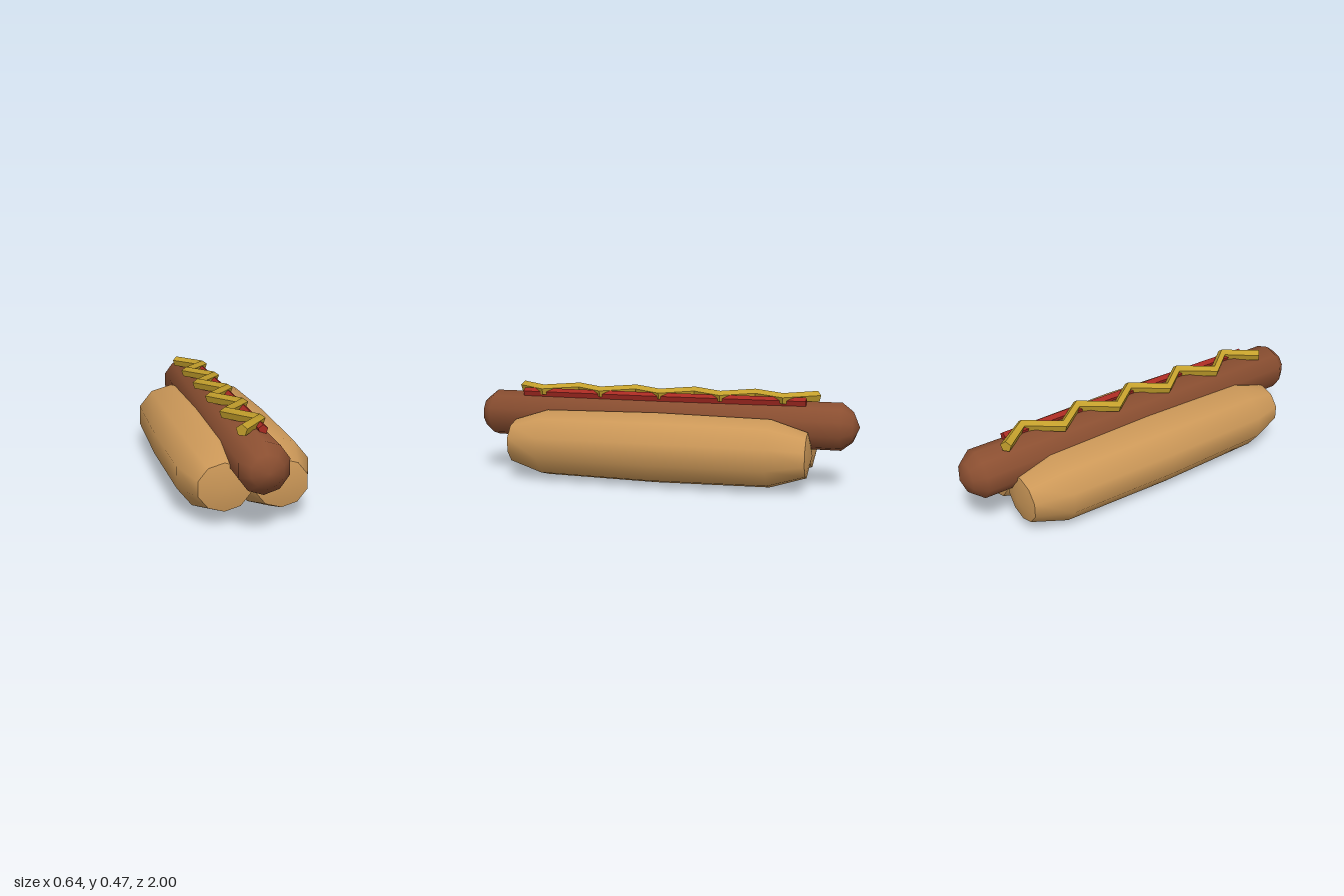
import * as THREE from 'three';
import { toCreasedNormals } from 'three/addons/utils/BufferGeometryUtils.js';

const paint = (name, color) => {
  const m = new THREE.MeshStandardMaterial({ color });
  m.name = name;
  return m;
};

// Skin elliptical rings along a path running toward +z.
// Each station is [x, y, z, rx, ry]; a zero radius closes the end.
function loft(stations, sides) {
  const rings = stations.map(([x, y, z, rx, ry], i) => {
    const p = stations[Math.max(i - 1, 0)];
    const n = stations[Math.min(i + 1, stations.length - 1)];
    const dx = n[0] - p[0], dz = n[2] - p[2];
    const len = Math.hypot(dx, dz) || 1;
    return Array.from({ length: sides }, (_, j) => {
      const a = Math.PI / 2 + (j / sides) * Math.PI * 2;
      const s = rx * Math.cos(a);
      return [x + (s * dz) / len, y + ry * Math.sin(a), z - (s * dx) / len];
    });
  });
  const pos = [];
  for (let i = 0; i < rings.length - 1; i++) {
    for (let j = 0; j < sides; j++) {
      const k = (j + 1) % sides;
      const a = rings[i][j], b = rings[i][k], c = rings[i + 1][k], d = rings[i + 1][j];
      if (stations[i][3] > 0) pos.push(...a, ...b, ...c);
      if (stations[i + 1][3] > 0) pos.push(...a, ...c, ...d);
    }
  }
  const g = new THREE.BufferGeometry();
  g.setAttribute('position', new THREE.Float32BufferAttribute(pos, 3));
  return toCreasedNormals(g, 0.9);
}

// Pentagonal sauce strand with flat ends
function strand(points, r) {
  const body = points.map((p) => [...p, r, r]);
  return loft([[...points[0], 0, 0], ...body, [...points[points.length - 1], 0, 0]], 5);
}

export function createModel() {
  const group = new THREE.Group();
  group.name = 'hotDog';
  const add = (name, geometry, material) => {
    const mesh = new THREE.Mesh(geometry, material);
    mesh.name = name;
    group.add(mesh);
  };
  const bread = paint('bread', 0xcc9858);
  const meat = paint('meat', 0x8b4f31);
  const yellow = paint('mustardYellow', 0xc4a02c);
  const red = paint('ketchupRed', 0xa82a22);

  // Two bun halves, tapering to shallow pointed ends
  const bunProfile = [
    [-0.785, 0, 0], [-0.76, 0.126, 0.113], [-0.58, 0.19, 0.17], [0, 0.201, 0.179],
    [0.58, 0.19, 0.17], [0.76, 0.126, 0.113], [0.785, 0, 0],
  ];
  for (const side of [1, -1]) {
    add(side > 0 ? 'leftBun' : 'rightBun',
      loft(bunProfile.map(([z, rx, ry]) => [side * 0.131, 0.181, z, rx, ry]), 10), bread);
  }

  // Sausage with rounded ends
  const sausageProfile = [
    [-1, 0], [-0.968, 0.076], [-0.912, 0.12], [0.912, 0.12], [0.968, 0.076], [1, 0],
  ];
  add('sausage', loft(sausageProfile.map(([z, r]) => [0.006, 0.308, z, r, r]), 10), meat);

  // Mustard zigzag
  const zigzag = [];
  for (let i = 0; i <= 10; i++) zigzag.push([i % 2 ? 0.062 : -0.062, 0.444, (i - 5) * 0.157]);
  add('mustard', strand(zigzag, 0.0285), yellow);

  // Ketchup line, bowed slightly outward
  add('ketchup', strand([
    [0.047, 0.428, -0.74], [0.052, 0.428, -0.37], [0.054, 0.427, 0],
    [0.052, 0.428, 0.37], [0.047, 0.428, 0.74],
  ], 0.0235), red);

  return group;
}
